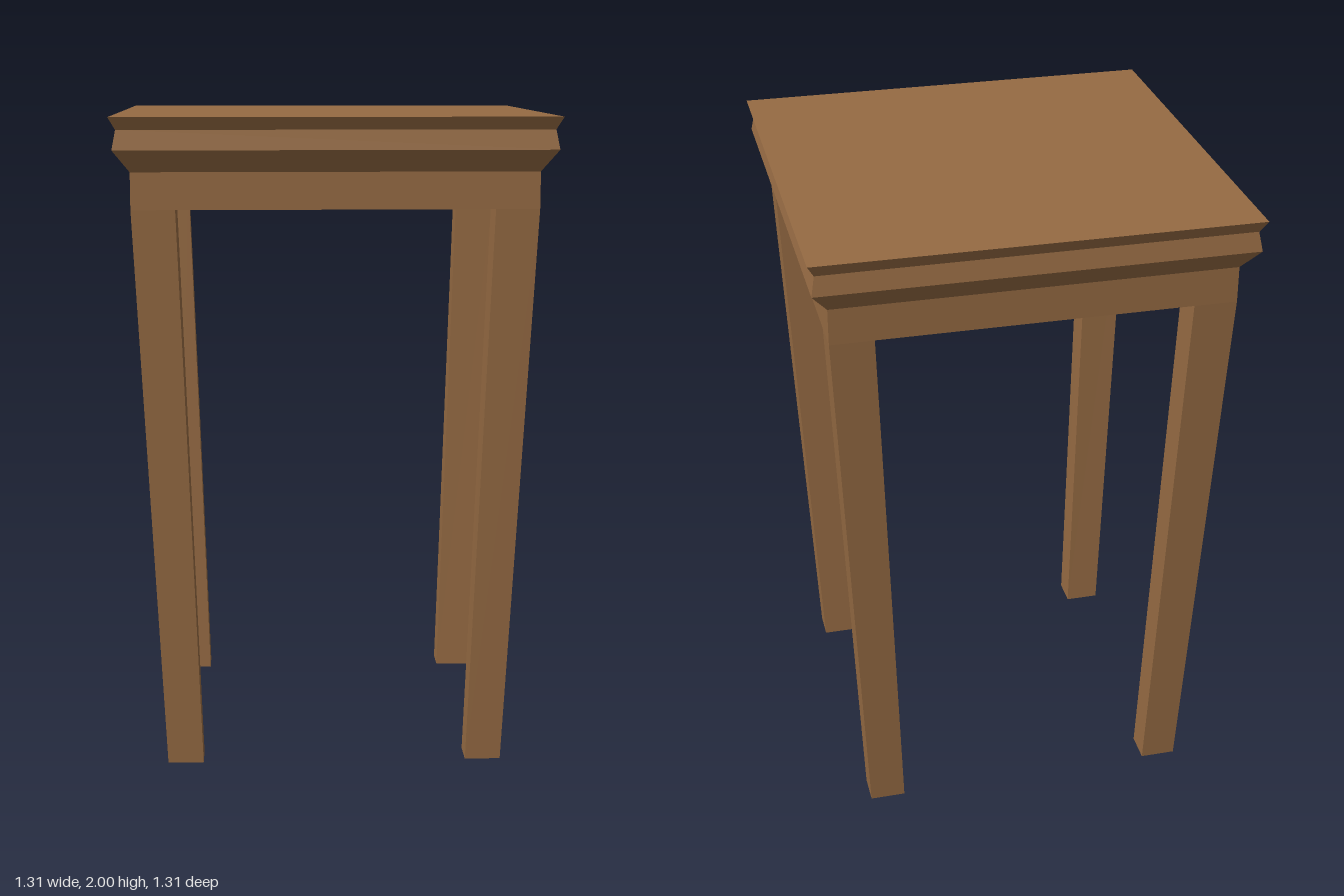
import * as THREE from 'three';

const wood = new THREE.MeshStandardMaterial({ color: 0x966b43, flatShading: true });

// Skins a stack of rectangles, each given as [half width x, half depth z, height y]
function loftRectangles(rings) {
  const corners = [[1, 1], [1, -1], [-1, -1], [-1, 1]];
  const at = ([hx, hz, y], i) => [hx * corners[i % 4][0], y, hz * corners[i % 4][1]];
  const positions = [];
  for (let r = 0; r < rings.length - 1; r++) {
    const a = rings[r], b = rings[r + 1];
    for (let i = 0; i < 4; i++) {
      if (b[0] > 0) positions.push(...at(a, i), ...at(b, i), ...at(b, i + 1));
      if (a[0] > 0) positions.push(...at(a, i), ...at(b, i + 1), ...at(a, i + 1));
    }
  }
  const geometry = new THREE.BufferGeometry();
  geometry.setAttribute('position', new THREE.Float32BufferAttribute(positions, 3));
  geometry.computeVertexNormals();
  return geometry;
}

// Tapered, splayed leg: a box whose corners move to the inner and outer leg lines
function legGeometry(sx, sz) {
  const geometry = new THREE.BoxGeometry(1, 1, 1);
  const p = geometry.attributes.position;
  for (let i = 0; i < p.count; i++) {
    const top = p.getY(i) > 0;
    const outX = p.getX(i) * sx > 0, outZ = p.getZ(i) * sz > 0;
    const x = outX ? (top ? 0.6 : 0.52) : (top ? 0.47 : 0.41);
    const z = outZ ? (top ? 0.6 : 0.52) : (top ? 0.49 : 0.425);
    // The inner top corner rises to meet the bevelled apron
    const y = !top ? 0 : (outX || outZ ? 1.73 : 1.78);
    p.setXYZ(i, sx * x, y, sz * z);
  }
  geometry.computeVertexNormals();
  return geometry;
}

export function createModel() {
  const model = new THREE.Group();
  model.name = 'sideTable';

  const add = (name, geometry) => {
    const mesh = new THREE.Mesh(geometry, wood);
    mesh.name = name;
    model.add(mesh);
  };

  // Top slab with moulded edge, apron, bevelled lower rim and recessed underside
  add('tableTopAndApron', loftRectangles([
    [0, 0, 2],
    [0.657, 0.657, 2],
    [0.637, 0.637, 1.963],
    [0.648, 0.648, 1.905],
    [0.6, 0.6, 1.84],
    [0.6, 0.6, 1.73],
    [0.47, 0.49, 1.78],
    [0.47, 0.49, 1.855],
    [0, 0, 1.855],
  ]));

  // Four legs
  for (const sx of [1, -1]) {
    for (const sz of [1, -1]) {
      add((sz > 0 ? 'front' : 'back') + (sx > 0 ? 'Left' : 'Right') + 'Leg', legGeometry(sx, sz));
    }
  }
  return model;
}
